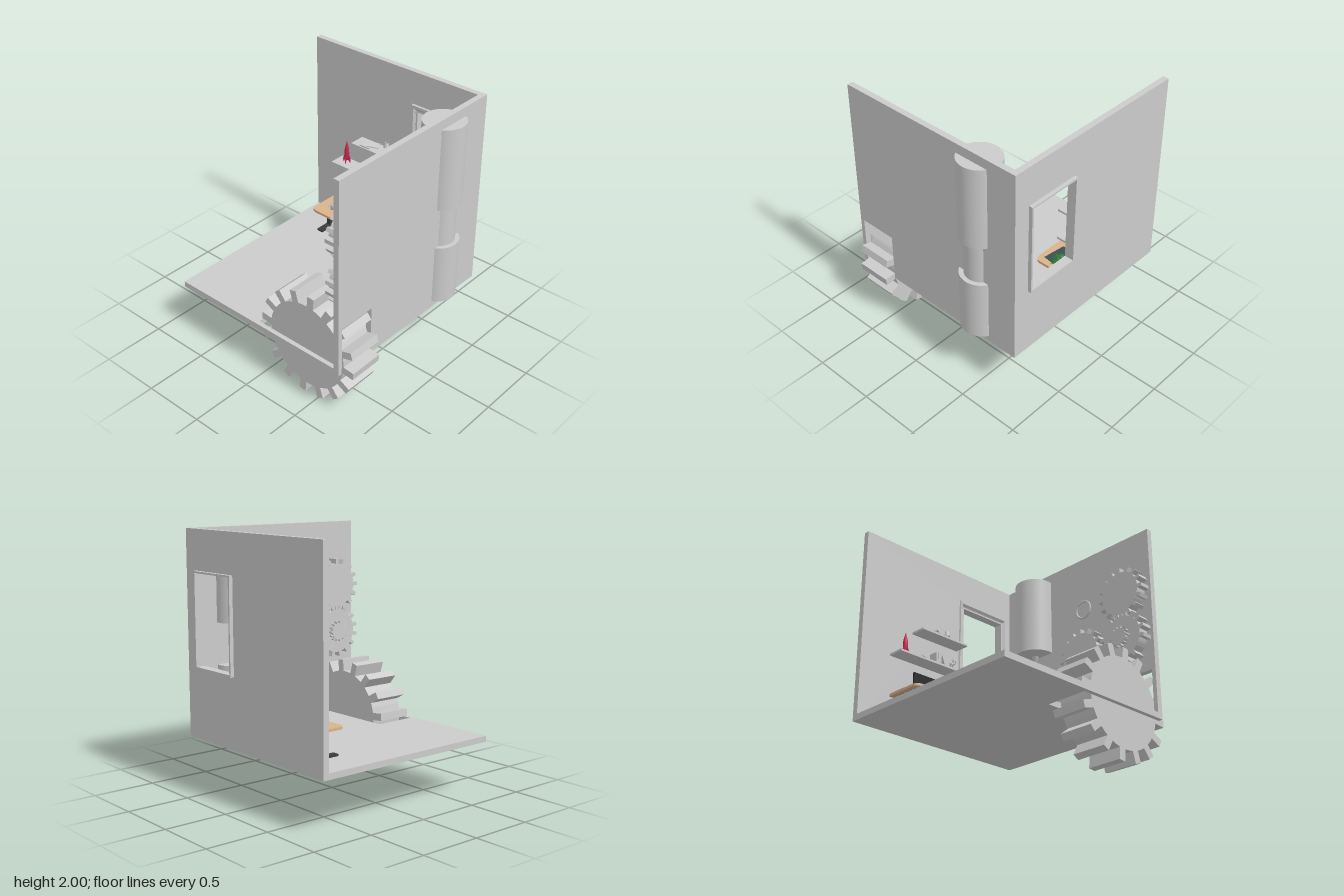
import * as THREE from 'three';

const mat = (color) => new THREE.MeshStandardMaterial({ color, side: THREE.DoubleSide });
const grey = mat(0xcccccc), wood = mat(0xd9b48c), black = mat(0x26282b), pink = mat(0xe0a8b8);
const red = mat(0xc8284f), teal = mat(0x35728a), slate = mat(0x3b4f54), green = mat(0x2f7a3a);
const potDark = mat(0x3d4a44), darkMetal = mat(0x3a3d40);

export function createModel() {
  const root = new THREE.Group();

  const add = (name, geo, m = grey, pos = [0, 0, 0], rot = [0, 0, 0], parent = root) => {
    const mesh = new THREE.Mesh(geo, m);
    mesh.name = name;
    mesh.position.set(...pos);
    mesh.rotation.set(...rot);
    parent.add(mesh);
    return mesh;
  };
  // box given by its limits
  const box = (name, x0, x1, y0, y1, z0, z1, m = grey) =>
    add(name, new THREE.BoxGeometry(x1 - x0, y1 - y0, z1 - z0), m, [(x0 + x1) / 2, (y0 + y1) / 2, (z0 + z1) / 2]);
  const cyl = (name, r0, r1, h, pos, m = grey, seg = 24, rot, parent) =>
    add(name, new THREE.CylinderGeometry(r0, r1, h, seg), m, pos, rot, parent);
  const poly = (pts) => new THREE.Shape(pts.map((p) => new THREE.Vector2(...p)));
  const rect = (x0, x1, y0, y1) => poly([[x0, y0], [x1, y0], [x1, y1], [x0, y1]]);
  const extrude = (shape, depth) => new THREE.ExtrudeGeometry(shape, { depth, bevelEnabled: false, curveSegments: 12 });
  const group = (name, pos, rot = [0, 0, 0]) => {
    const g = new THREE.Group();
    g.name = name;
    g.position.set(...pos);
    g.rotation.set(...rot);
    root.add(g);
    return g;
  };

  // Gear with straight teeth, centred on its axis (z)
  const gear = (teeth, rIn, rOut, depth, phase, fill = 0.42) => {
    const pts = [], step = (Math.PI * 2) / teeth;
    for (let i = 0; i < teeth; i++) {
      const a = phase + i * step, w = (step * fill) / 2, t = (w * rIn) / rOut;
      const at = (r, b) => pts.push([r * Math.cos(a + b), r * Math.sin(a + b)]);
      at(rIn, -w); at(rOut, -t); at(rOut, t); at(rIn, w); at(rIn, step / 2);
    }
    return extrude(poly(pts), depth).translate(0, 0, -depth / 2);
  };

  // Floor with a slot for the large gear
  const floor = poly([[-0.845, 0.79], [-0.845, -0.815], [0.71, -0.815], [0.71, -0.78],
    [-0.055, -0.78], [-0.055, -0.445], [0.71, -0.445], [0.71, 0.79]]);
  add('floor', extrude(floor, 0.047), grey, [0, 0.4, 0], [-Math.PI / 2, 0, 0]);

  // Side wall with the same slot at its foot
  const side = poly([[-0.815, 0.4], [-0.78, 0.4], [-0.78, 0.8], [-0.465, 0.8], [-0.465, 0.4],
    [0.79, 0.4], [0.79, 2], [-0.815, 2]]);
  add('sideWall', extrude(side, 0.047), grey, [0.71, 0, 0], [0, Math.PI / 2, 0]);

  // Back wall with window opening
  const back = rect(-0.845, 0.71, 0.4, 2);
  back.holes.push(rect(0.165, 0.625, 0.95, 1.69));
  add('backWall', extrude(back, 0.048), grey, [0, 0, -0.79]);

  // Window: outer lining and inner sloped moulding
  const lining = rect(0.165, 0.625, 0.95, 1.69);
  lining.holes.push(rect(0.18, 0.61, 0.967, 1.675));
  add('windowLining', extrude(lining, 0.075), grey, [0, 0, -0.82]);
  const loop = (x0, x1, y0, y1, z) => [[x0, y0, z], [x1, y0, z], [x1, y1, z], [x0, y1, z]];
  const rings = [loop(0.13, 0.66, 0.9, 1.735, -0.742), loop(0.135, 0.655, 0.905, 1.73, -0.728),
    loop(0.15, 0.64, 0.935, 1.71, -0.728), loop(0.167, 0.623, 0.955, 1.688, -0.745)];
  const v = [], idx = [];
  rings.forEach((r) => r.forEach((p) => v.push(...p)));
  for (let i = 0; i < 3; i++) for (let j = 0; j < 4; j++) {
    const a = i * 4 + j, b = i * 4 + ((j + 1) % 4);
    idx.push(a, b, b + 4, a, b + 4, a + 4);
  }
  let moulding = new THREE.BufferGeometry();
  moulding.setAttribute('position', new THREE.Float32BufferAttribute(v, 3));
  moulding.setIndex(idx);
  moulding = moulding.toNonIndexed();
  moulding.computeVertexNormals();
  add('windowMoulding', moulding);

  // Twin drums set into the side wall, with facing points
  const dx = 0.677, dz = -0.398;
  cyl('upperDrum', 0.163, 0.163, 0.655, [dx, 1.5975, dz], grey, 48);
  cyl('lowerDrum', 0.163, 0.163, 0.49, [dx, 0.695, dz], grey, 48);
  add('drumLink', new THREE.CylinderGeometry(0.128, 0.128, 0.33, 32, 1, true, Math.PI / 2 - 0.89, 1.78), grey, [dx, 1.105, dz]);
  cyl('lowerPointBase', 0.03, 0.03, 0.05, [dx, 0.965, dz]);
  cyl('lowerPoint', 0.004, 0.03, 0.06, [dx, 1.02, dz]);
  cyl('upperPoint', 0.03, 0.004, 0.06, [dx, 1.24, dz]);

  // Gears
  add('floorGear', gear(16, 0.355, 0.447, 0.285, THREE.MathUtils.degToRad(264)), grey, [0.397, 0.45, 0.613]);
  [[1.482, 0.58, 0], [1.1, 0.58, 0.196], [1.1, 0.15, 0]].forEach(([y, z, p]) =>
    add('wallGear', gear(16, 0.178, 0.218, 0.09, p), grey, [0.662, y, z], [0, Math.PI / 2, 0]));
  add('smallGear', gear(14, 0.068, 0.085, 0.035, 0), grey, [0.602, 1.1, 0.575], [0, Math.PI / 2, 0]);

  // Round wall dial
  cyl('dialFace', 0.07, 0.07, 0.01, [0.704, 1.53, 0.13], grey, 32, [0, 0, Math.PI / 2]);
  add('dialRim', new THREE.TorusGeometry(0.072, 0.01, 8, 32), grey, [0.7, 1.53, 0.13], [0, Math.PI / 2, 0]);

  // Desk top with rounded front corners
  const top = new THREE.Shape();
  top.moveTo(-0.59, 0.7);
  top.lineTo(-0.59, 0.42);
  top.quadraticCurveTo(-0.59, 0.375, -0.52, 0.375);
  top.lineTo(0.01, 0.375);
  top.quadraticCurveTo(0.08, 0.375, 0.08, 0.42);
  top.lineTo(0.08, 0.7);
  add('deskTop', extrude(top, 0.02), wood, [0, 0.645, 0], [-Math.PI / 2, 0, 0]);
  for (const x of [-0.53, 0.015]) {
    box('deskFoot', x - 0.028, x + 0.028, 0.447, 0.462, -0.68, -0.41, darkMetal);
    box('deskLegLower', x - 0.018, x + 0.018, 0.46, 0.57, -0.57, -0.52, darkMetal);
    box('deskLegUpper', x - 0.013, x + 0.013, 0.57, 0.635, -0.565, -0.525, darkMetal);
    box('deskBracket', x - 0.022, x + 0.022, 0.633, 0.646, -0.66, -0.43, darkMetal);
  }

  // Riser and wall shelves
  box('deskRiser', -0.52, 0.015, 0.705, 0.715, -0.735, -0.615);
  for (const x of [-0.43, -0.045]) box('riserSupport', x - 0.006, x + 0.006, 0.665, 0.705, -0.735, -0.615);
  box('lowerShelf', -0.57, 0.105, 1.003, 1.02, -0.742, -0.605);
  box('upperShelf', -0.36, 0.105, 1.255, 1.271, -0.742, -0.605);

  // Monitor
  box('monitor', -0.39, -0.112, 0.75, 0.895, -0.675, -0.66, black);
  box('monitorNeck', -0.272, -0.23, 0.722, 0.77, -0.685, -0.675, pink);
  box('monitorBase', -0.305, -0.197, 0.715, 0.722, -0.71, -0.635, pink);

  // Keyboard with key rows
  box('keyboard', -0.365, -0.145, 0.665, 0.672, -0.58, -0.515, slate);
  for (let r = 0; r < 4; r++) for (let c = 0; c < 14; c++) {
    const x = -0.36 + c * 0.0152, z = -0.576 + r * 0.015;
    box('key', x, x + 0.012, 0.672, 0.677, z, z + 0.011, teal);
  }
  add('deskMat', new THREE.BoxGeometry(0.195, 0.003, 0.15), slate, [-0.067, 0.667, -0.505], [0, -0.12, 0]);

  // Mug
  add('mug', new THREE.LatheGeometry([[0, 0], [0.02, 0], [0.022, 0.042], [0.019, 0.042], [0.018, 0.005], [0, 0.005]]
    .map((p) => new THREE.Vector2(...p)), 20), grey, [-0.452, 0.665, -0.488]);
  add('mugHandle', new THREE.TorusGeometry(0.012, 0.003, 6, 16), grey, [-0.472, 0.687, -0.47], [0, Math.PI / 4, 0]);

  // Potted plant
  const plant = group('plant', [0.052, 0.665, -0.575]);
  cyl('pot', 0.028, 0.022, 0.055, [0, 0.0275, 0], potDark, 16, undefined, plant);
  const leaf = new THREE.SphereGeometry(1, 8, 6).scale(0.026, 0.003, 0.013);
  for (let i = 0; i < 11; i++) {
    const a = i * 2.4, r = 0.025 + 0.012 * (i % 4), h = 0.075 + 0.016 * ((i * 3) % 5);
    const tip = new THREE.Vector3(r * Math.cos(a), h, -r * 0.8 * Math.sin(a));
    const stem = new THREE.QuadraticBezierCurve3(new THREE.Vector3(0, 0.05, 0), new THREE.Vector3(0, h, 0), tip);
    add('stem', new THREE.TubeGeometry(stem, 6, 0.002, 4), green, undefined, undefined, plant);
    const l = add('leaf', leaf, green, tip.toArray(), undefined, plant);
    l.rotation.set(0.3, a, -0.45, 'YXZ');
  }

  // Toy rocket
  const rocket = group('rocket', [-0.472, 1.02, -0.683]);
  add('rocketBody', new THREE.LatheGeometry([[0, 0.025], [0.012, 0.025], [0.02, 0.075], [0.018, 0.12], [0.009, 0.16], [0.003, 0.185], [0, 0.195]]
    .map((p) => new THREE.Vector2(...p)), 20), red, undefined, undefined, rocket);
  const fin = extrude(poly([[0.01, 0.03], [0.03, 0], [0.032, 0.035], [0.018, 0.075]]), 0.006).translate(0, 0, -0.003);
  for (let i = 0; i < 4; i++) add('rocketFin', fin, red, [0, 0, 0], [0, (i * Math.PI) / 2 + 0.3, 0], rocket);

  // Books: lying, standing and leaning
  const book = (pos, size, rot) => add('book', new THREE.BoxGeometry(...size), grey, pos, rot);
  book([-0.315, 1.027, -0.675], [0.12, 0.012, 0.09], [0, 0.1, 0]);
  book([-0.305, 1.043, -0.675], [0.11, 0.006, 0.08], [0, 0.35, 0.12]);
  for (let i = 0; i < 3; i++) book([-0.187 + i * 0.019, 1.07, -0.675], [0.016, 0.1, 0.08]);
  book([-0.113, 1.067, -0.675], [0.012, 0.095, 0.08], [0, 0, 0.36]);
  book([-0.235, 1.277, -0.665], [0.09, 0.01, 0.1]);
  book([-0.185, 1.292, -0.665], [0.1, 0.008, 0.075], [0, 0.5, -0.1]);

  // Small lamp
  cyl('lampBase', 0.02, 0.022, 0.008, [-0.056, 1.275, -0.675]);
  cyl('lampStem', 0.005, 0.005, 0.05, [-0.056, 1.3, -0.675], grey, 10);
  add('lampShade', new THREE.CylinderGeometry(0.016, 0.024, 0.042, 20, 1, true), grey, [-0.056, 1.337, -0.675]);

  // Gyroscope ornament
  const gyro = group('gyroscope', [0.01, 1.095, -0.675]);
  cyl('gyroFoot', 0.022, 0.025, 0.008, [0, -0.071, 0], grey, 16, undefined, gyro);
  cyl('gyroPost', 0.004, 0.004, 0.04, [0, -0.05, 0], grey, 8, undefined, gyro);
  [[0, 0, 0], [1.2, 0.5, 0], [0.6, 1.3, 0]].forEach((r, i) =>
    add('gyroRing', new THREE.TorusGeometry(0.034 - i * 0.004, 0.003, 6, 24), grey, [0, 0, 0], r, gyro));
  cyl('gyroWheel', 0.02, 0.02, 0.01, [0, 0, 0], grey, 20, [0.8, 0, 0.6], gyro);

  return root;
}
